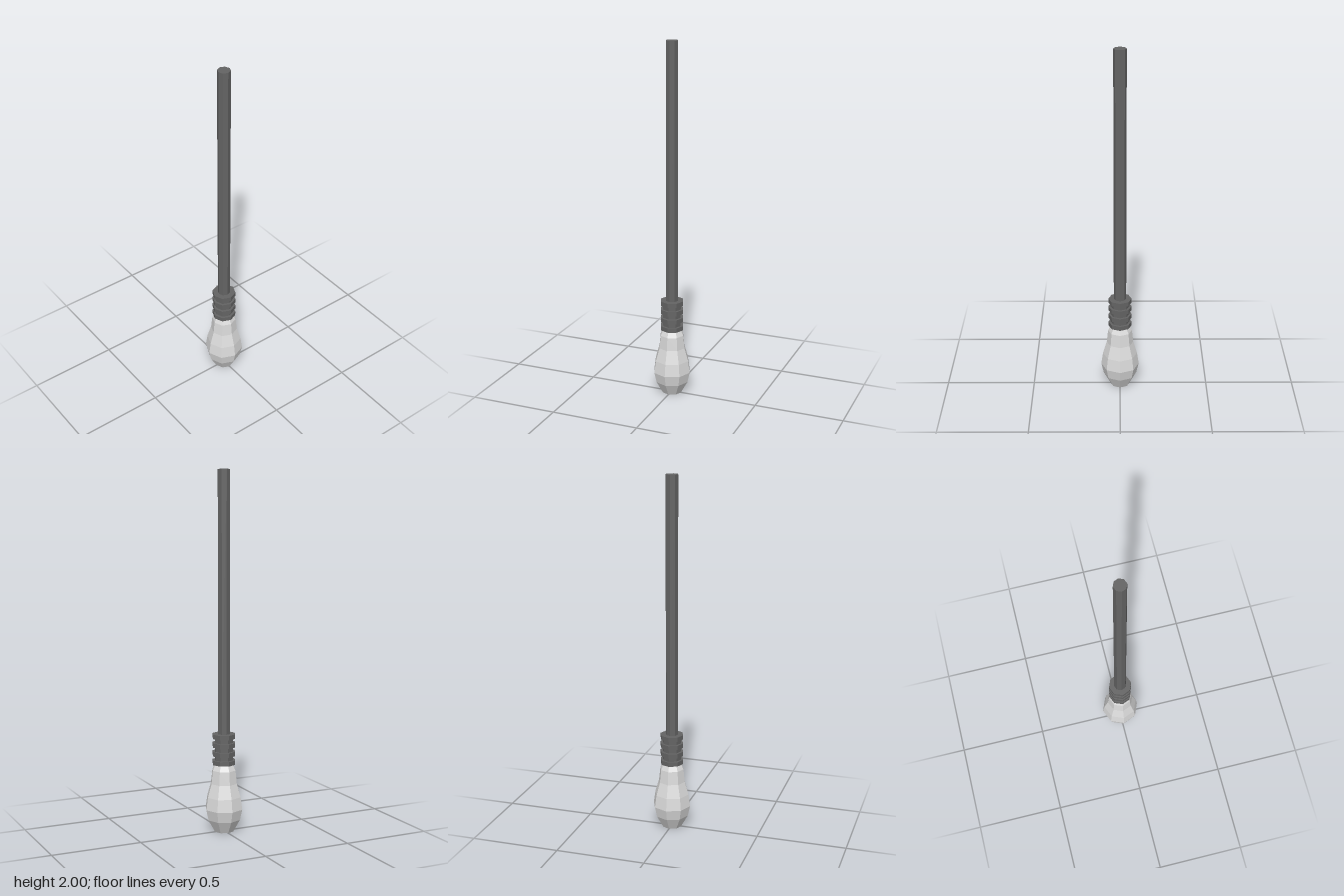
import * as THREE from 'three';

const SIDES = 8;

export function createModel() {
  const group = new THREE.Group();
  const dark = new THREE.MeshStandardMaterial({ name: 'dark grey', color: 0x646464, flatShading: true });
  const light = new THREE.MeshStandardMaterial({ name: 'light grey', color: 0xdadada, flatShading: true });

  const add = (name, geometry, material, y = 0) => {
    const mesh = new THREE.Mesh(geometry, material);
    mesh.name = name;
    mesh.position.y = y;
    group.add(mesh);
  };
  // Octagonal post between two heights
  const post = (name, radius, y0, y1) =>
    add(name, new THREE.CylinderGeometry(radius, radius, y1 - y0, SIDES), dark, (y0 + y1) / 2);

  // Rounded glass bulb, closed at both ends
  const profile = [[0, 0], [0.055, 0], [0.094, 0.07], [0.108, 0.13], [0.098, 0.2],
    [0.076, 0.275], [0.068, 0.35], [0.052, 0.385], [0, 0.385]];
  add('bulb', new THREE.LatheGeometry(profile.map(([r, y]) => new THREE.Vector2(r, y)), SIDES), light);

  // Socket core with four raised collars
  post('socketCore', 0.053, 0.38, 0.545);
  for (let i = 0; i < 4; i++) {
    const y = 0.382 + i * 0.049;
    post('socketRing' + (i + 1), 0.066, y, y + 0.025);
  }

  // Long hanging rod
  post('rod', 0.035, 0.54, 2);
  return group;
}
